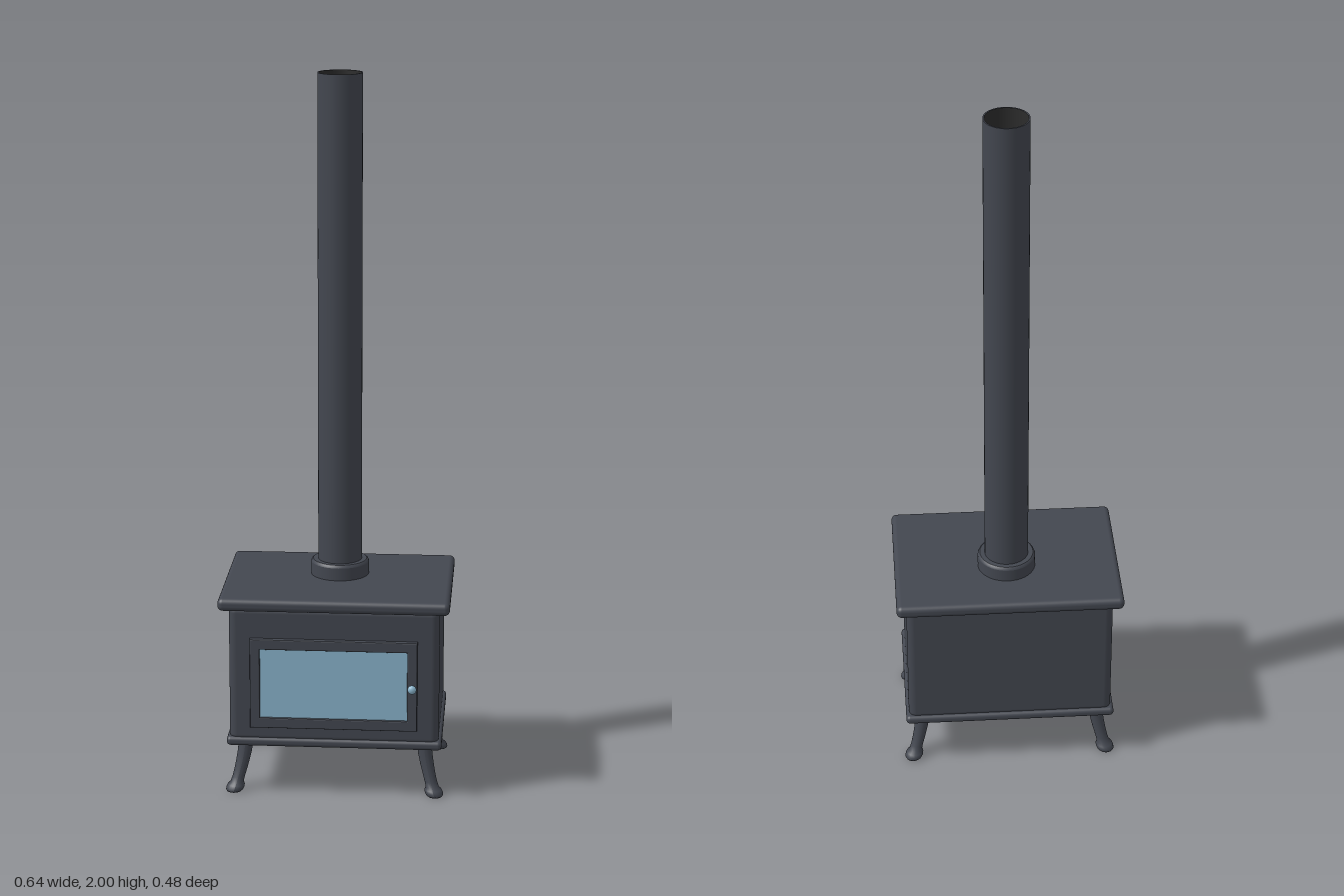
import * as THREE from 'three';
import { RoundedBoxGeometry } from 'three/addons/geometries/RoundedBoxGeometry.js';

export function createModel() {
  const stove = new THREE.Group();
  stove.name = 'woodStove';
  const iron = new THREE.MeshStandardMaterial({ color: 0x434750 });
  iron.name = 'cast iron';
  const glass = new THREE.MeshStandardMaterial({ color: 0x8ab4cc });
  glass.name = 'pale blue glass';
  const soot = new THREE.MeshStandardMaterial({ color: 0x2c2c2c });
  soot.name = 'soot';

  const BODY_Z = -0.009, FLUE_Z = -0.048;
  const add = (name, geometry, material, x = 0, y = 0, z = 0, parent = stove) => {
    const mesh = new THREE.Mesh(geometry, material);
    mesh.name = name;
    mesh.position.set(x, y, z);
    parent.add(mesh);
    return mesh;
  };
  const lathe = (points, sides = 40) =>
    new THREE.LatheGeometry(points.map(([r, y]) => new THREE.Vector2(r, y)), sides);

  // Firebox between its base and top plates
  add('firebox', new RoundedBoxGeometry(0.586, 0.4, 0.412, 4, 0.022), iron, 0, 0.355, BODY_Z + 0.002);
  add('basePlate', new RoundedBoxGeometry(0.602, 0.026, 0.428, 4, 0.011), iron, 0, 0.157, BODY_Z);
  add('topPlate', new RoundedBoxGeometry(0.642, 0.036, 0.468, 4, 0.015), iron, 0, 0.563, BODY_Z);

  // Door: bevelled frame with an opening, glass and knob
  const door = new THREE.Group();
  door.name = 'door';
  door.position.set(0, 0.333, 0.198);
  stove.add(door);
  const rectangle = (path, w, h) => path.moveTo(-w, -h).lineTo(w, -h).lineTo(w, h).lineTo(-w, h).closePath();
  const frame = rectangle(new THREE.Shape(), 0.23, 0.127);
  frame.holes.push(rectangle(new THREE.Path(), 0.208, 0.103));
  add('doorFrame', new THREE.ExtrudeGeometry(frame, {
    depth: 0.012, bevelEnabled: true, bevelThickness: 0.003, bevelSize: 0.003, bevelSegments: 2,
  }), iron, 0, 0, -0.001, door);
  add('doorGlass', new THREE.BoxGeometry(0.416, 0.206, 0.008), glass, 0, 0, 0.003, door);
  const stem = add('knobStem', new THREE.CylinderGeometry(0.005, 0.005, 0.02, 12), iron, 0.219, 0, 0.02, door);
  stem.rotation.x = Math.PI / 2;
  const knob = add('doorKnob', new THREE.SphereGeometry(0.0125, 20, 14), glass, 0.219, 0, 0.031, door);
  knob.scale.z = 0.8;

  // Collar around the foot of the flue
  add('flueCollar', lathe([
    [0.06, 0.575], [0.082, 0.575], [0.082, 0.575], [0.082, 0.617], [0.082, 0.617],
    [0.08, 0.622], [0.076, 0.625], [0.076, 0.625], [0.06, 0.625],
  ]), iron, 0, 0, FLUE_Z);

  // Flue pipe with a rim and a sooty lining
  add('fluePipe', new THREE.CylinderGeometry(0.062, 0.062, 1.42, 40, 1, true), iron, 0, 1.29, FLUE_Z);
  add('flueRim', lathe([[0.062, 2], [0.058, 2]]), iron, 0, 0, FLUE_Z);
  add('flueLining', lathe([[0.058, 2], [0.058, 1.93], [0.058, 1.93], [0, 1.93]]), soot, 0, 0, FLUE_Z);

  // Splayed legs: an upright profile leaning outwards towards the floor
  const legGeometry = (sx, sz) => {
    const g = lathe([
      [0, 0], [0.02, 0], [0.024, 0.004], [0.0255, 0.011], [0.024, 0.018], [0.0185, 0.025],
      [0.0175, 0.04], [0.018, 0.06], [0.019, 0.085], [0.02, 0.11], [0.021, 0.15],
    ], 20);
    const p = g.attributes.position;
    for (let i = 0; i < p.count; i++) {
      const t = 1 - p.getY(i) / 0.15;
      const lean = 0.016 * t + 0.018 * t * t;
      p.setX(i, p.getX(i) + sx * lean);
      p.setZ(i, p.getZ(i) + sz * lean);
    }
    g.computeVertexNormals();
    return g;
  };
  for (const sx of [-1, 1]) for (const sz of [-1, 1]) {
    const name = (sz > 0 ? 'front' : 'back') + (sx > 0 ? 'Left' : 'Right') + 'Leg';
    add(name, legGeometry(sx, sz), iron, sx * 0.25, 0, BODY_Z + sz * 0.152);
  }
  return stove;
}
